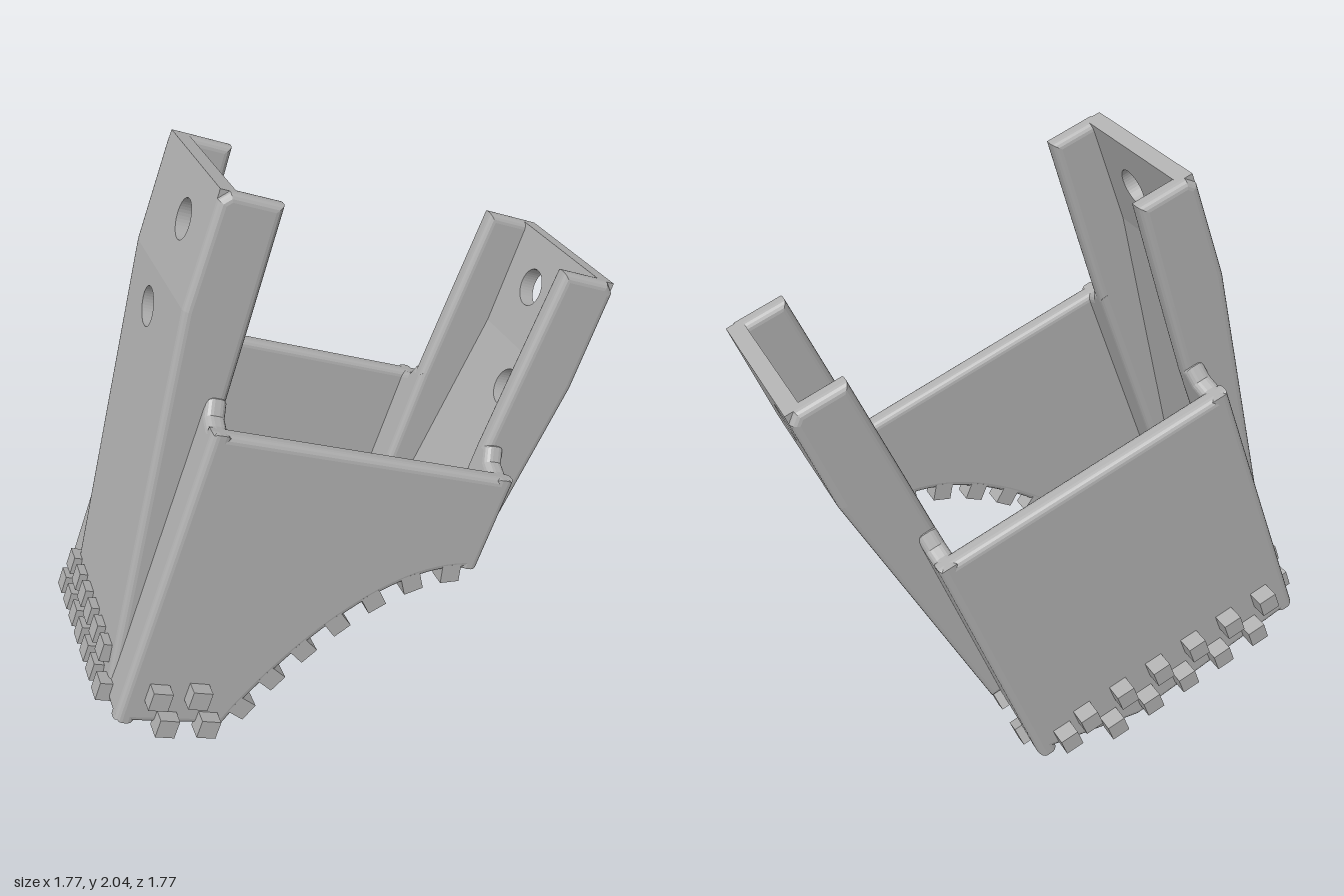
import * as THREE from 'three';

const HALF_L = 0.545, HALF_W = 0.447, RIM = 1.068, TOP = 1.76, BEND = 1.38, THICK = 0.07;
const SLOT = 0.243, FLANGE = 0.07;

export function createModel() {
  const steel = new THREE.MeshStandardMaterial({ color: 0xb0b0b0 });
  steel.name = 'grey steel';

  const add = (parent, geo, name) => {
    const m = new THREE.Mesh(geo, steel);
    m.name = name;
    parent.add(m);
    return m;
  };

  // Rounded plate cut from an outline; the outline keeps its full size
  const plate = (shape, depth, bevel = 0.025) => {
    const g = new THREE.ExtrudeGeometry(shape, {
      depth: depth - 2 * bevel, bevelEnabled: bevel > 0, bevelSize: bevel, bevelThickness: bevel,
      bevelOffset: -bevel, bevelSegments: 4, curveSegments: 20,
    });
    g.translate(0, 0, bevel);
    return g;
  };
  const outline = (pts) => new THREE.Shape(pts.map(([x, y]) => new THREE.Vector2(x, y)));

  // Height of the scooped edge at a distance from the high corner
  const scoop = (d, r, e) => 0.72 * Math.pow(Math.max(0, 1 - (d / r) ** 2), e);
  const frontEdge = (h) => scoop(HALF_L - h, 0.71, 0.92);
  const endEdge = (v) => Math.max(0.04, scoop(HALF_W - v, 0.86, 0.7));
  const flatEdge = () => -0.015;
  const sample = (f, from, to, n) =>
    Array.from({ length: n + 1 }, (_, i) => {
      const x = from + ((to - from) * i) / n;
      return [x, f(x)];
    });

  const body = new THREE.Group();
  body.name = 'bracketBody';
  body.position.x = -0.33;

  // Long side walls: one scooped, one full height
  const frontShape = outline([
    [-HALF_L, -0.015], ...sample(frontEdge, -0.165, HALF_L, 24), [HALF_L, RIM], [-HALF_L, RIM],
  ]);
  add(body, plate(frontShape, THICK), 'scoopedSideWall').position.z = HALF_W - THICK;
  const backShape = outline([
    [-HALF_L, -0.015], [0.16, -0.062], [HALF_L, 0.078], [HALF_L, RIM], [-HALF_L, RIM],
  ]);
  add(body, plate(backShape, THICK), 'fullSideWall').position.z = -HALF_W;

  // Outer face of the upright: leans outward, then runs straight
  const lean = (t) => HALF_L + ((0.703 - HALF_L) * Math.min(Math.max(t, 0), BEND)) / BEND;

  // End wall with its channel-shaped upright, facing +x
  const makeEnd = (edge, name) => {
    const end = new THREE.Group();
    end.name = name;

    // Wall strips on either side of the channel, rising slightly to the flange
    for (const side of [-1, 1]) {
      const bottom = sample((v) => edge(v * side), SLOT, HALF_W, 10);
      const shape = outline([
        ...bottom, [HALF_W, RIM], [0.385, RIM], [0.345, RIM + 0.015], [0.318, RIM + 0.06], [SLOT, RIM + 0.06],
      ].map(([v, t]) => [-v * side, t]));
      add(end, plate(shape, THICK).rotateY(Math.PI / 2), 'endWallStrip').position.x = HALF_L - THICK;
    }

    // Flanges
    for (const side of [-1, 1]) {
      const b = edge((SLOT + FLANGE / 2) * side);
      const shape = outline([
        [0.475, b], [lean(b), b], [0.703, BEND], [0.703, TOP - 0.03], [0.673, TOP],
        [0.50, TOP], [0.485, BEND], [0.475, 1.1],
      ]);
      add(end, plate(shape, FLANGE), 'flange').position.z = side * (SLOT + FLANGE / 2) - FLANGE / 2;
    }

    // Web in two flat panels, each with a bolt hole
    const w = SLOT + 0.045;
    const hole = (v, t) => new THREE.Path().absarc(-v, t, 0.065, 0, Math.PI * 2, true);
    const lower = outline([...sample((x) => edge(-x), -w, w, 20), [w, BEND], [-w, BEND]]);
    lower.holes.push(hole(0.05, 1.245));
    const upper = outline([[-w, BEND], [w, BEND], [w, TOP], [-w, TOP]]);
    upper.holes.push(hole(-0.067, 1.585));
    for (const shape of [lower, upper]) {
      const g = plate(shape, 0.055, 0).rotateY(Math.PI / 2);
      const p = g.attributes.position;
      for (let i = 0; i < p.count; i++) p.setX(i, p.getX(i) + lean(p.getY(i)) - 0.055);
      g.computeVertexNormals();
      add(end, g, 'web');
    }
    body.add(end);
    return end;
  };
  makeEnd(endEdge, 'scoopedEnd');
  makeEnd(flatEdge, 'straightEnd').rotation.y = Math.PI;

  // Lip along the inside foot of the straight end
  add(body, new THREE.BoxGeometry(0.2, 0.11, 0.8), 'footLip').position.set(-0.425, 0.03, 0);

  // Small weld cubes
  const cubeGeo = new THREE.BoxGeometry(0.068, 0.068, 0.068);
  const cube = (x, y, z) => {
    const m = add(body, cubeGeo, 'weldCube');
    m.position.set(x, y, z);
    return m;
  };
  for (let i = 0; i < 7; i++) cube(-0.555, 0.02, -0.33 + i * 0.105);
  for (let i = 0; i < 6; i++) cube(-0.56, 0.13, -0.29 + i * 0.105);
  for (let i = 0; i < 6; i++) cube(0.336 - i * 0.153, 0.13, -0.475);
  for (let i = 0; i < 5; i++) cube(0.26 - i * 0.153, 0.02, -0.475);
  cube(0.43, 0.1, -0.475);
  for (const [x, y] of [[-0.435, 0.115], [-0.3, 0.13], [-0.38, 0.01], [-0.235, 0.018]]) cube(x, y, 0.465);

  // Cubes spaced along both scooped edges
  const along = (f, from, to, n, place) => {
    const curve = new THREE.SplineCurve(sample(f, from, to, 30).map(([x, y]) => new THREE.Vector2(x, y)));
    for (let i = 0; i < n; i++) {
      const u = (i + 0.5) / n, p = curve.getPointAt(u), d = curve.getTangentAt(u);
      place(p.x + d.y * 0.015, p.y - d.x * 0.015, Math.atan2(d.y, d.x));
    }
  };
  along(frontEdge, -0.16, 0.52, 7, (x, y, a) => { cube(x, y, 0.412).rotation.z = a; });
  along(endEdge, -0.4, 0.38, 7, (v, y, a) => { cube(0.54, y, v).rotation.x = -a; });

  // Lean and turn the whole piece
  const tilt = THREE.MathUtils.degToRad(20), c = Math.cos(tilt), s = Math.sin(tilt), q = Math.SQRT1_2;
  const model = new THREE.Group();
  model.name = 'bracket';
  model.quaternion.setFromRotationMatrix(new THREE.Matrix4().makeBasis(
    new THREE.Vector3(c * q, -s, -c * q),
    new THREE.Vector3(s * q, c, -s * q),
    new THREE.Vector3(q, 0, q),
  ));
  model.add(body);
  const root = new THREE.Group();
  root.name = 'model';
  root.add(model);
  return root;
}
